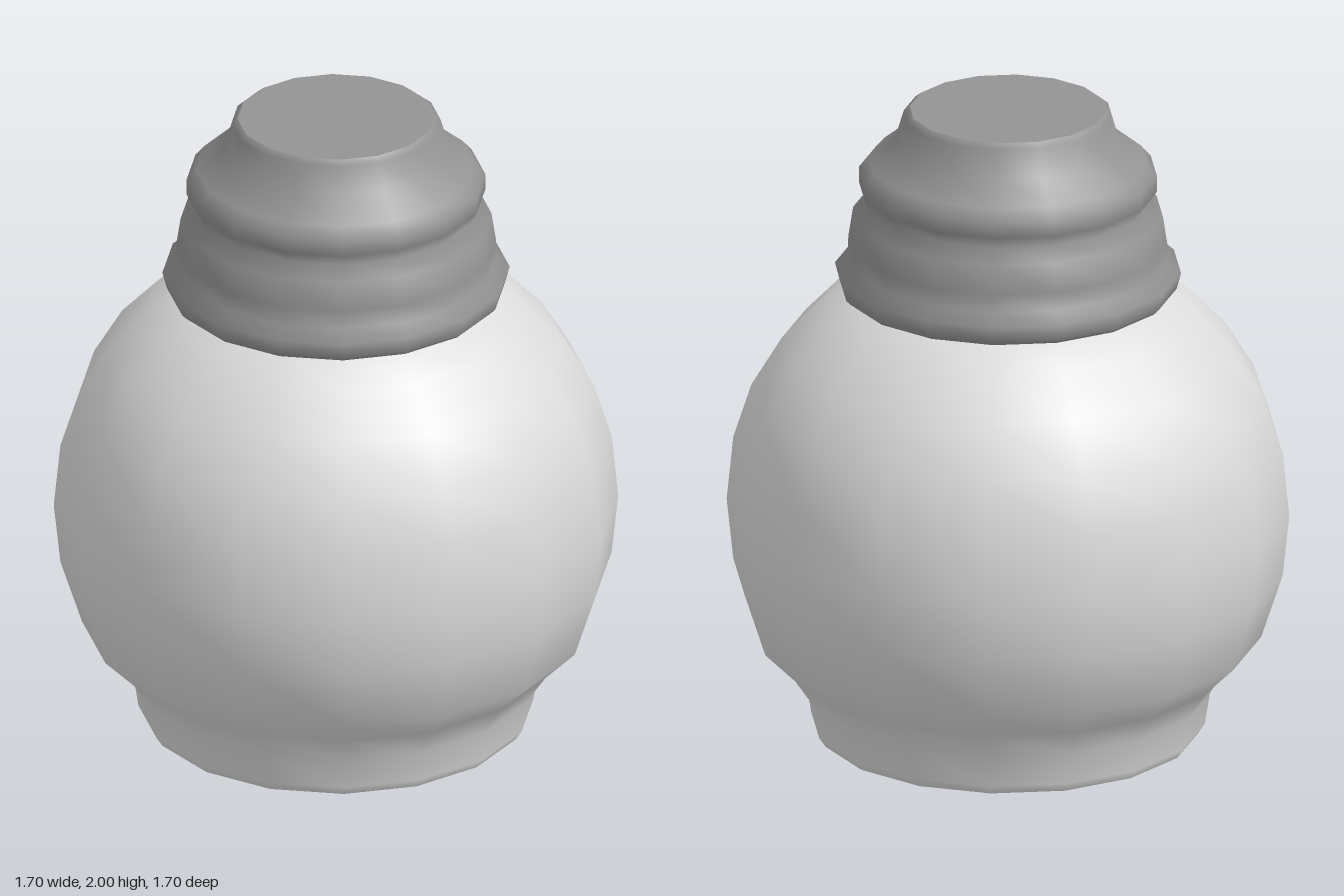
import * as THREE from 'three';

const SIDES = 16;

// Smooth turned surface; points run from the bottom centre outwards and up
function turned(name, points, material) {
  const profile = points.map(([r, y]) => new THREE.Vector2(r, y));
  const mesh = new THREE.Mesh(new THREE.LatheGeometry(profile, SIDES), material);
  mesh.name = name;
  return mesh;
}

export function createModel() {
  const glass = new THREE.MeshStandardMaterial({ color: 0xdcdcdc });
  glass.name = 'pale grey body';
  const metal = new THREE.MeshStandardMaterial({ color: 0x949494 });
  metal.name = 'mid grey cap';

  // Round body on a short foot
  const body = new THREE.Group();
  body.name = 'body';
  body.add(
    turned('footUnderside', [[0, 0], [0.575, 0.015]], glass),
    turned('bodyShell', [
      [0.575, 0.015], [0.595, 0.045], [0.61, 0.145], [0.67, 0.235], [0.765, 0.33],
      [0.83, 0.53], [0.85, 0.72], [0.83, 0.92], [0.775, 1.09],
      [0.685, 1.24], [0.57, 1.36], [0.475, 1.425], [0.4, 1.46],
    ], glass),
  );

  // Stepped cap with a rolled rim, a groove and a flat top
  const cap = new THREE.Group();
  cap.name = 'cap';
  cap.add(
    turned('capUnderside', [[0.4, 1.425], [0.495, 1.425]], metal),
    turned('capShell', [
      [0.495, 1.425], [0.51, 1.44], [0.523, 1.49], [0.485, 1.525], [0.482, 1.58],
      [0.468, 1.67], [0.425, 1.71], [0.45, 1.75], [0.45, 1.8], [0.42, 1.835],
      [0.34, 1.9], [0.315, 1.985], [0.297, 2],
    ], metal),
    turned('capTop', [[0.297, 2], [0, 2]], metal),
  );

  const model = new THREE.Group();
  model.name = 'cappedBottle';
  model.add(body, cap);
  return model;
}
